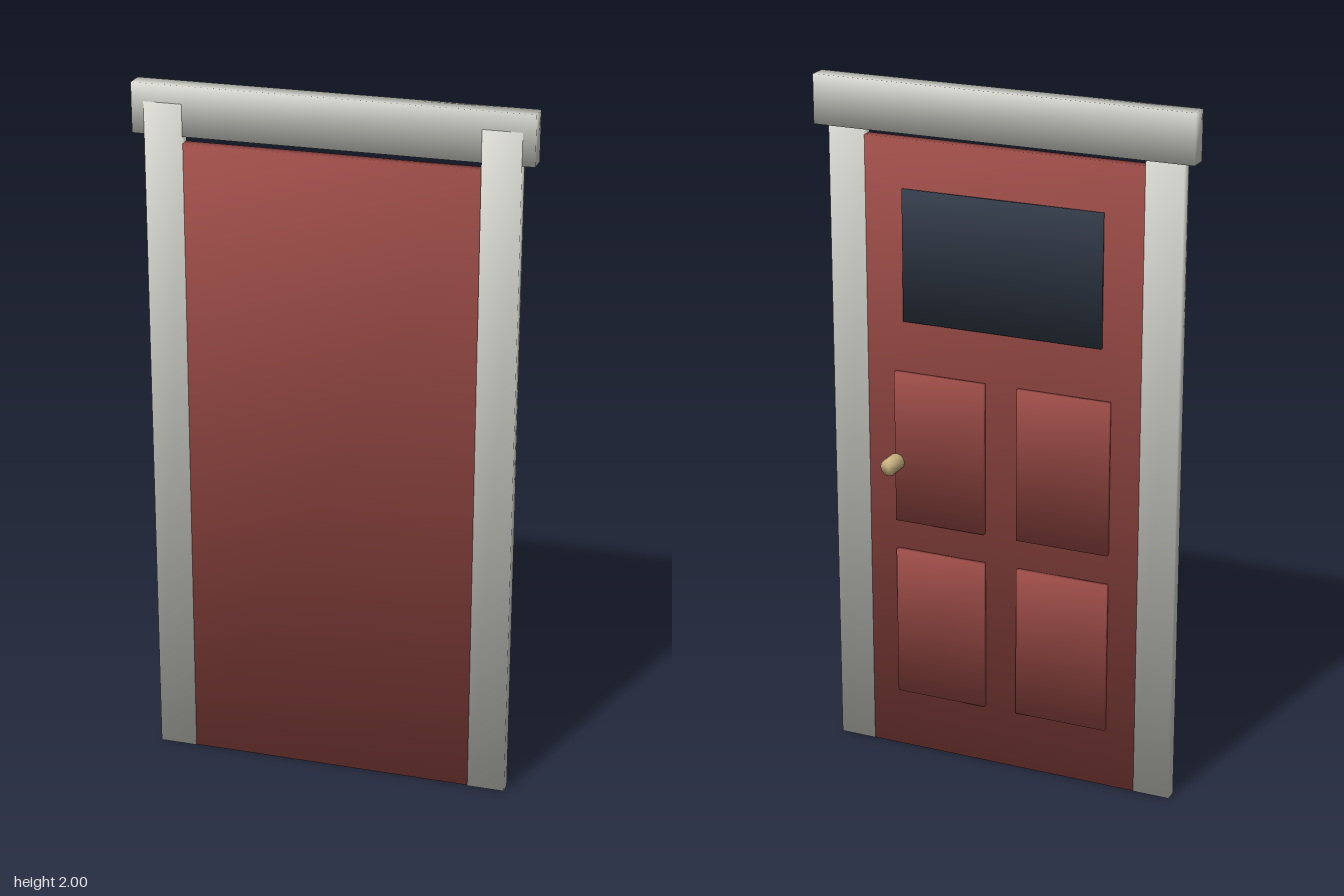
import * as THREE from 'three';
import { mergeVertices } from 'three/addons/utils/BufferGeometryUtils.js';

const paint = (name, color) => {
  const m = new THREE.MeshStandardMaterial({ color });
  m.name = name;
  return m;
};

// Box given by its extents, with normals averaged at the corners for soft shading
function softBox([x0, x1], [y0, y1], [z0, z1]) {
  const geo = new THREE.BoxGeometry(x1 - x0, y1 - y0, z1 - z0);
  const p = geo.attributes.position, n = geo.attributes.normal, k = 1 / Math.sqrt(3);
  for (let i = 0; i < p.count; i++) {
    n.setXYZ(i, Math.sign(p.getX(i)) * k, Math.sign(p.getY(i)) * k, Math.sign(p.getZ(i)) * k);
  }
  return geo.translate((x0 + x1) / 2, (y0 + y1) / 2, (z0 + z1) / 2);
}

export function createModel() {
  const group = new THREE.Group();
  group.name = 'door';
  const frame = paint('frame white', 0xdcdcd5);
  const red = paint('door red', 0x9e4d48);
  const glass = paint('dark glass', 0x333c4a);
  const brass = paint('brass', 0xcdb783);

  const add = (name, geo, mat) => {
    const mesh = new THREE.Mesh(geo, mat);
    mesh.name = name;
    group.add(mesh);
  };

  // Door leaf
  add('doorLeaf', softBox([-0.415, 0.415], [0, 1.84], [0.017, 0.047]), red);

  // Frame: two jambs under a wider lintel
  add('leftJamb', softBox([0.412, 0.52], [0, 1.95], [0.015, 0.0505]), frame);
  add('rightJamb', softBox([-0.52, -0.412], [0, 1.95], [0.015, 0.0505]), frame);
  add('lintel', softBox([-0.555, 0.555], [1.86, 2], [-0.005, 0.0495]), frame);

  // Four raised panels on the back
  for (const y of [0.18, 0.72]) {
    add('leftPanel', softBox([0.05, 0.325], [y, y + 0.45], [0.003, 0.018]), red);
    add('rightPanel', softBox([-0.325, -0.05], [y, y + 0.45], [0.003, 0.018]), red);
  }

  // Window pane
  add('windowPane', softBox([-0.297, 0.297], [1.32, 1.7], [0.009, 0.018]), glass);

  // Round knob, shaded softly over its rim
  let knob = new THREE.CylinderGeometry(0.025, 0.025, 0.055, 12);
  knob.deleteAttribute('normal');
  knob.deleteAttribute('uv');
  knob = mergeVertices(knob, 1e-4);
  knob.computeVertexNormals();
  knob.rotateX(Math.PI / 2).translate(0.321, 0.9, -0.0225);
  add('knob', knob, brass);

  return group;
}
